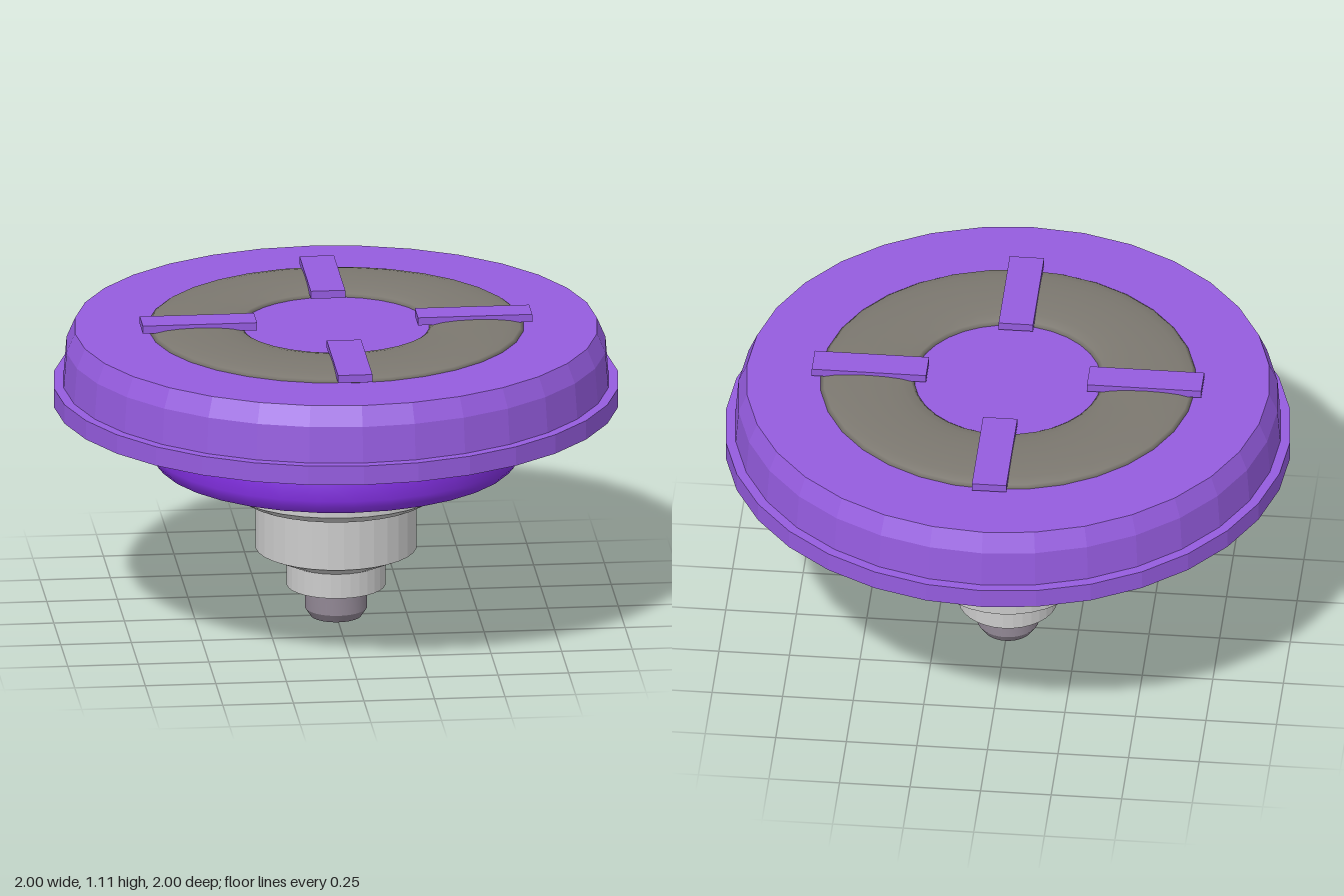
import * as THREE from 'three';
import { toCreasedNormals } from 'three/addons/utils/BufferGeometryUtils.js';

const SIDES = 32;

const paint = (color, flatShading = false) =>
  new THREE.MeshStandardMaterial({ color, flatShading });

// Closed turned part from [radius, height] pairs, listed bottom to top.
function turned(name, profile, material, crease = 0) {
  let geometry = new THREE.LatheGeometry(profile.map(([r, y]) => new THREE.Vector2(r, y)), SIDES);
  if (crease) geometry = toCreasedNormals(geometry, crease);
  const mesh = new THREE.Mesh(geometry, material);
  mesh.name = name;
  return mesh;
}

export function createModel() {
  const model = new THREE.Group();
  model.name = 'spinningTop';
  const purple = paint(0x955cdf, true);

  // Tip and stepped shaft
  model.add(turned('tip', [[0, 0], [0.09, 0], [0.11, 0.03], [0.11, 0.13], [0, 0.13]], paint(0x918794), 0.5));
  model.add(turned('shaft', [
    [0, 0.115], [0.175, 0.115], [0.175, 0.205], [0.285, 0.255], [0.285, 0.45],
    [0.34, 0.45], [0.4, 0.485], [0.4, 0.81], [0, 0.81],
  ], paint(0xcccccc, true)));

  // Weight ring with softened rims
  model.add(turned('weightRing', [
    [0, 0.58], [0.635, 0.58], [0.655, 0.605], [0.663, 0.63],
    [0.663, 0.71], [0.655, 0.735], [0.635, 0.76], [0, 0.76],
  ], paint(0x8430e4), 0.75));

  // Wide upper disc with a lower lip
  model.add(turned('disc', [
    [0, 0.8], [1, 0.8], [1, 0.87], [0.965, 0.87], [0.955, 1], [0.925, 1.07], [0, 1.07],
  ], purple));

  // Flattened ring half sunk into the disc top
  const torus = new THREE.TorusGeometry(0.497, 0.167, 16, SIDES).rotateX(Math.PI / 2).scale(1, 0.15, 1);
  const inlay = new THREE.Mesh(torus, paint(0x7c7870));
  inlay.name = 'inlayRing';
  inlay.position.y = 1.07;
  model.add(inlay);

  // Four clips across the inlay ring
  for (let i = 0; i < 4; i++) {
    const clip = new THREE.Mesh(new THREE.BoxGeometry(i % 2 ? 0.122 : 0.112, 0.028, 0.405), purple);
    clip.name = 'clip' + (i + 1);
    const angle = (i + 1) * Math.PI / 2;
    clip.position.set(Math.sin(angle) * 0.4875, 1.094, Math.cos(angle) * 0.4875);
    clip.rotation.y = angle;
    model.add(clip);
  }
  return model;
}
